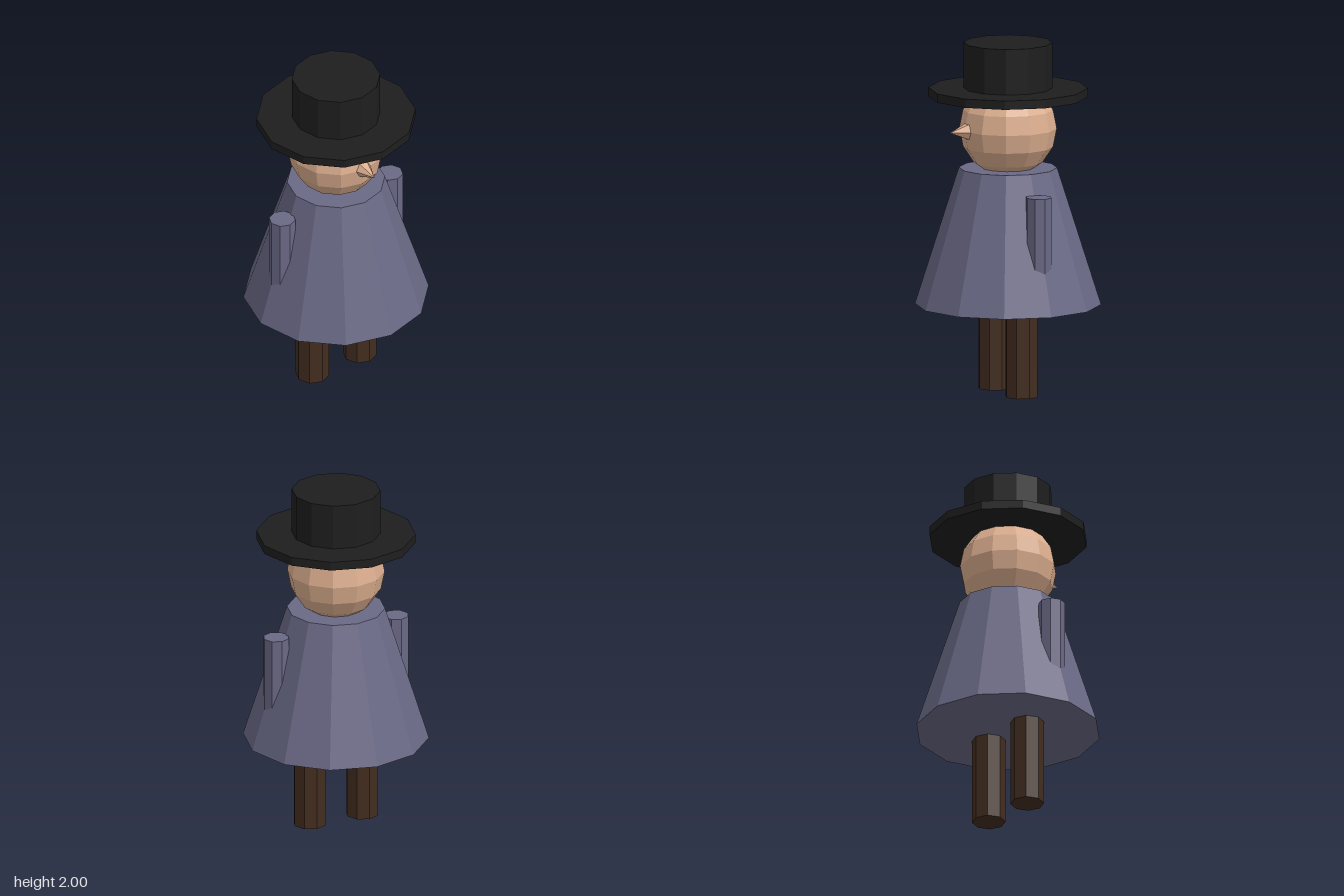
import * as THREE from 'three';

const paint = (color) => new THREE.MeshStandardMaterial({ color, flatShading: true });

export function createModel() {
  const model = new THREE.Group();
  model.name = 'figure';

  const coatCloth = paint(0x6a6986);
  const skin = paint(0xdcae8f);
  const felt = paint(0x1e1e1e);
  const legBrown = paint(0x432d20);

  const add = (name, geometry, material, x, y, z) => {
    const mesh = new THREE.Mesh(geometry, material);
    mesh.name = name;
    mesh.position.set(x, y, z);
    model.add(mesh);
    return mesh;
  };

  // Upright faceted cylinder or frustum between two heights
  const column = (name, rTop, rBottom, y0, y1, sides, material, z = 0) =>
    add(name, new THREE.CylinderGeometry(rTop, rBottom, y1 - y0, sides), material, 0, (y0 + y1) / 2, z);

  // Flared coat
  column('coat', 0.277, 0.525, 0.505, 1.285, 12, coatCloth);

  // Arms and legs, one pair on each side along z
  for (const [side, s] of [['Front', 1], ['Back', -1]]) {
    column('arm' + side, 0.075, 0.075, 0.67, 1.17, 8, coatCloth, s * 0.375);
    column('leg' + side, 0.095, 0.095, 0, 0.52, 8, legBrown, s * 0.165);
  }

  // Head with a pointed nose facing +x
  add('head', new THREE.SphereGeometry(0.275, 12, 8), skin, 0, 1.51, 0);
  const nose = add('nose', new THREE.ConeGeometry(0.05, 0.11, 6), skin, 0.315, 1.51, 0);
  nose.rotation.z = -Math.PI / 2;

  // Top hat
  column('hatBrim', 0.45, 0.45, 1.69, 1.74, 12, felt);
  column('hatCrown', 0.25, 0.25, 1.73, 2, 12, felt);

  return model;
}
